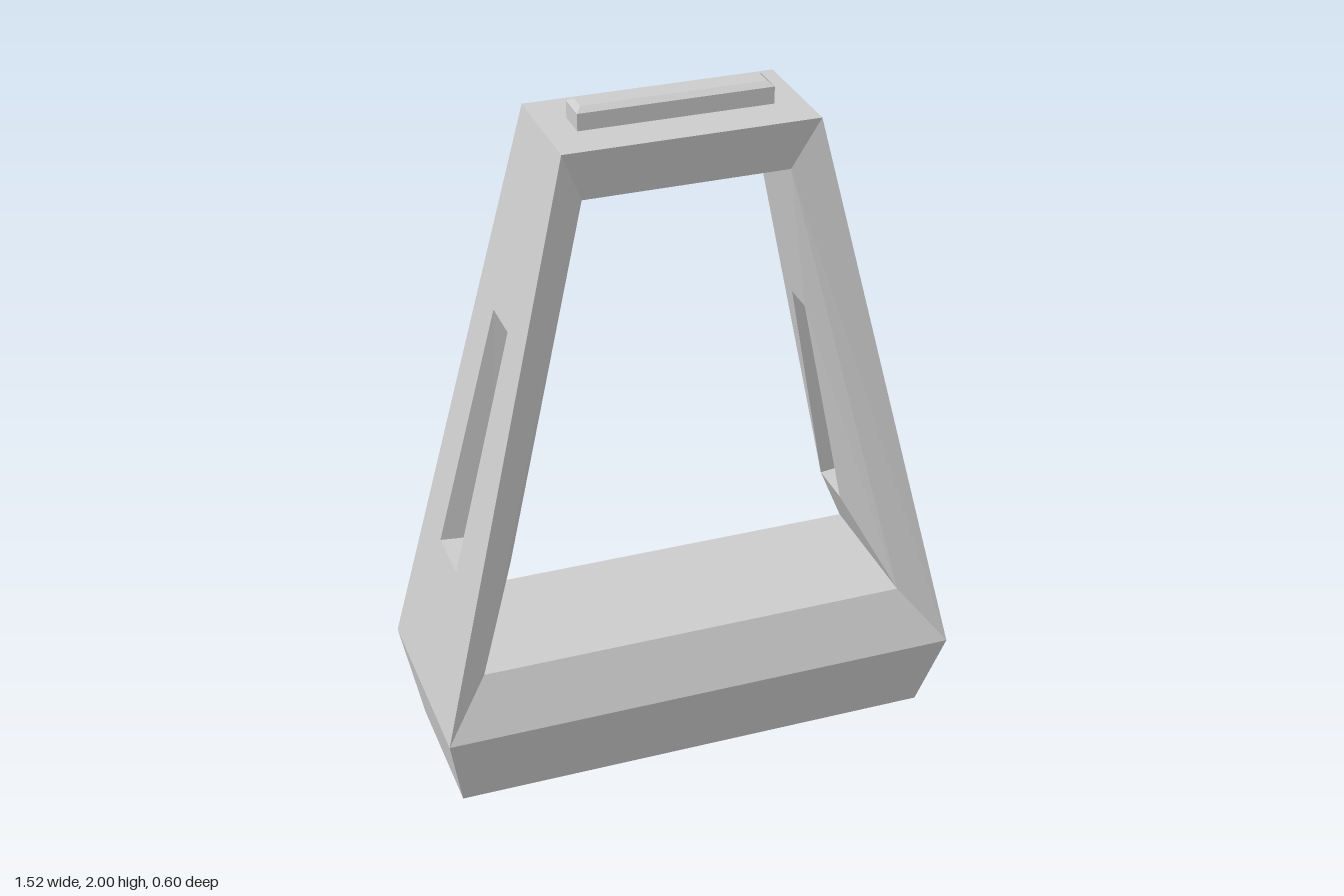
import * as THREE from 'three';

const material = new THREE.MeshStandardMaterial({ color: 0xcccccc, flatShading: true });

// Flat mesh from quads; corners run counter-clockwise as seen from outside.
function quadMesh(name, quads) {
  const pos = [];
  for (const [a, b, c, d] of quads) pos.push(...a, ...b, ...c, ...a, ...c, ...d);
  const g = new THREE.BufferGeometry();
  g.setAttribute('position', new THREE.Float32BufferAttribute(pos, 3));
  g.computeVertexNormals();
  const mesh = new THREE.Mesh(g, material);
  mesh.name = name;
  return mesh;
}

// Quads joining two four-cornered loops, on the chosen sides.
const bridge = (A, B, sides = [0, 1, 2, 3]) =>
  sides.map((i) => [A[i], A[(i + 1) % 4], B[(i + 1) % 4], B[i]]);

// Loop in the side plane: bottom front, bottom back, top back, top front.
const sideLoop = (xb, yb, zbf, zbb, xt, yt, ztf, ztb) =>
  [[xb, yb, zbf], [xb, yb, zbb], [xt, yt, ztb], [xt, yt, ztf]];

// Horizontal rectangle, counter-clockwise as seen from above.
const rect = (x, y, z) => [[-x, y, z], [x, y, z], [x, y, -z], [-x, y, -z]];

const mirrorX = (quads) =>
  quads.map((q) => q.map(([x, y, z]) => [-x, y, z]).reverse());

export function createModel() {
  const group = new THREE.Group();

  // Leg: outer face, slot through it, raised inner face, front and back chamfers
  const outer = sideLoop(0.76, 0.26, 0.3, -0.3, 0.355, 1.94, 0.175, -0.175);
  const slotOut = sideLoop(0.659, 0.68, 0.07, -0.102, 0.484, 1.405, 0.07, -0.067);
  const slotIn = sideLoop(0.5, 0.68, 0.067, -0.077, 0.378, 1.32, 0.045, -0.047);
  const inner = sideLoop(0.63, 0.42, 0.215, -0.215, 0.29, 1.785, 0.13, -0.13);
  const leg = [
    ...bridge(outer, slotOut),
    ...bridge(slotOut, slotIn),
    ...bridge(slotIn, inner),
    ...bridge(inner, outer, [1, 3]),
  ];
  group.add(quadMesh('leftLeg', leg), quadMesh('rightLeg', mirrorX(leg)));

  // Base: tapered skirt, sloping sill and flat sill top
  const foot = rect(0.71, 0, 0.215);
  const rim = rect(0.76, 0.26, 0.3);
  const sill = rect(0.63, 0.42, 0.215);
  group.add(quadMesh('base', [
    [...foot].reverse(),
    ...bridge(foot, rim),
    ...bridge(rim, sill, [0, 2]),
    sill,
  ]));

  // Top beam: underside, chamfered front and back, flat top
  const under = rect(0.29, 1.785, 0.13);
  const top = rect(0.355, 1.94, 0.175);
  group.add(quadMesh('topBeam', [
    [...under].reverse(),
    ...bridge(under, top, [0, 2]),
    top,
  ]));

  // Bevelled rail on the beam
  const railFoot = rect(0.272, 1.94, 0.047);
  const railEdge = rect(0.272, 1.988, 0.047);
  const railTop = rect(0.257, 2, 0.027);
  group.add(quadMesh('topRail', [
    ...bridge(railFoot, railEdge),
    ...bridge(railEdge, railTop),
    railTop,
  ]));

  return group;
}
